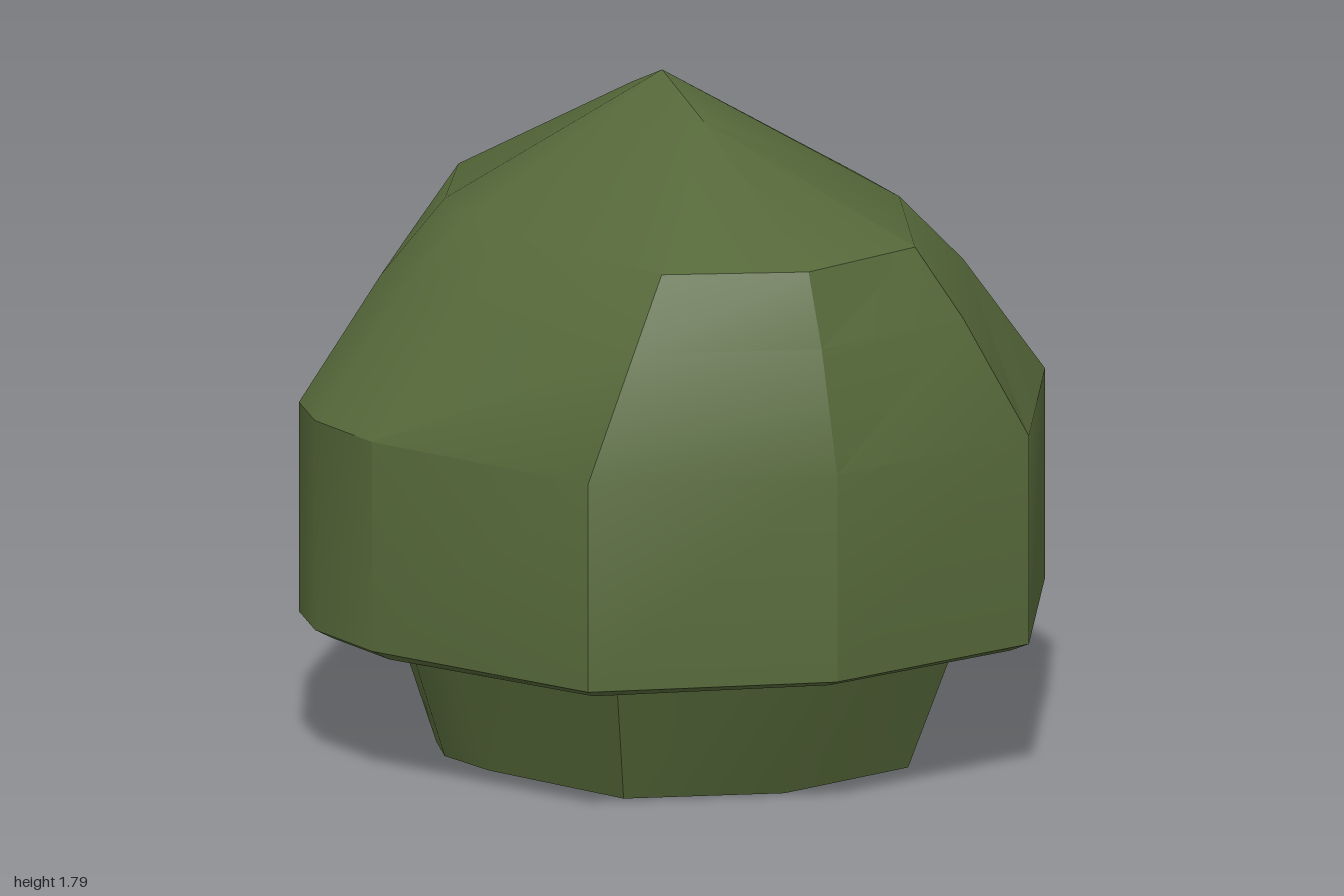
import * as THREE from 'three';
import { toCreasedNormals } from 'three/addons/utils/BufferGeometryUtils.js';

const SHIFT = 0.013; // the body sits slightly towards +x
const SIDES = 12;

// Twelve-sided cross-section: front pole, corner, three side points, corner, back pole, mirrored.
function ring({ y, ySide = y, pole, corner: [cx, cz], side, mid, z = [0.14, -0.13, -0.33] }) {
  const half = [[cx, cz], [side, z[0]], [mid, z[1]], [side, z[2]], [cx, -cz]];
  const place = (s) => ([x, pz]) => {
    const t = Math.min(1, x / side);
    return [s * x + (x === mid ? 0 : SHIFT), y + (ySide - y) * t, pz];
  };
  return [
    [SHIFT, y, pole],
    ...half.map(place(1)),
    [SHIFT, y, -pole],
    ...half.map(place(-1)).reverse(),
  ];
}

// Collects polygons into a geometry with smooth normals and sharp creases.
function surface() {
  const positions = [];
  const tri = (a, b, c) => {
    if (a !== b && b !== c && a !== c) positions.push(...a, ...b, ...c);
  };
  const quad = (a, b, c, d) => { tri(a, b, c); tri(a, c, d); };
  return {
    tri,
    quad,
    loft(rings) {
      for (let r = 0; r + 1 < rings.length; r++) {
        for (let i = 0; i < SIDES; i++) {
          const j = (i + 1) % SIDES;
          quad(rings[r][i], rings[r][j], rings[r + 1][j], rings[r + 1][i]);
        }
      }
    },
    build() {
      const g = new THREE.BufferGeometry();
      g.setAttribute('position', new THREE.Float32BufferAttribute(positions, 3));
      return toCreasedNormals(g, THREE.MathUtils.degToRad(32));
    },
  };
}

export function createModel() {
  const group = new THREE.Group();
  group.name = 'head';
  const material = new THREE.MeshStandardMaterial({ color: 0x56693a, side: THREE.DoubleSide });
  const add = (name, geometry) => {
    const mesh = new THREE.Mesh(geometry, material);
    mesh.name = name;
    group.add(mesh);
  };

  // Tapered neck, running up inside the hollow rim
  const neckBase = ring({ y: 0, pole: 0.63, corner: [0.41, 0.51], side: 0.61, mid: 0.64, z: [0.09, -0.1, -0.25] });
  const neckTop = ring({ y: 0.55, pole: 0.875, corner: [0.53, 0.71], side: 0.78, mid: 0.81, z: [0.13, -0.12, -0.31] });
  const neck = surface();
  neck.loft([neckBase, neckTop]);
  const bottom = [0, 0, 0];
  for (let i = 0; i < SIDES; i++) neck.tri(neckBase[(i + 1) % SIDES], neckBase[i], bottom);
  add('neck', neck.build());

  // Shell: inner wall, chamfered lip, upright wall and sloping shoulders
  const brow = ring({ y: 1.45, pole: 0.785, corner: [0.365, 0.655], side: 0.55, mid: 0.565 });
  const shell = surface();
  shell.loft([
    neckTop,
    ring({ y: 0.36, ySide: 0.345, pole: 0.92, corner: [0.6, 0.74], side: 0.92, mid: 0.95 }),
    ring({ y: 0.38, ySide: 0.372, pole: 0.97, corner: [0.635, 0.785], side: 0.97, mid: 1 }),
    ring({ y: 0.94, pole: 0.97, corner: [0.635, 0.785], side: 0.97, mid: 1 }),
    ring({ y: 1.26, pole: 0.87, corner: [0.475, 0.72], side: 0.735, mid: 0.755 }),
    brow,
  ]);

  // Crown: each edge of the top ring rises to a three-point ridge
  const ridge = [[0, 1.71, 0.14], [0, 1.79, -0.13], [0, 1.71, -0.33]];
  const nearest = [0, 0, 0, 1, 2, 2, 2, 2, 2, 1, 0, 0];
  for (let i = 0; i < SIDES; i++) {
    const j = (i + 1) % SIDES;
    shell.quad(brow[i], brow[j], ridge[nearest[j]], ridge[nearest[i]]);
  }
  add('shell', shell.build());

  return group;
}
